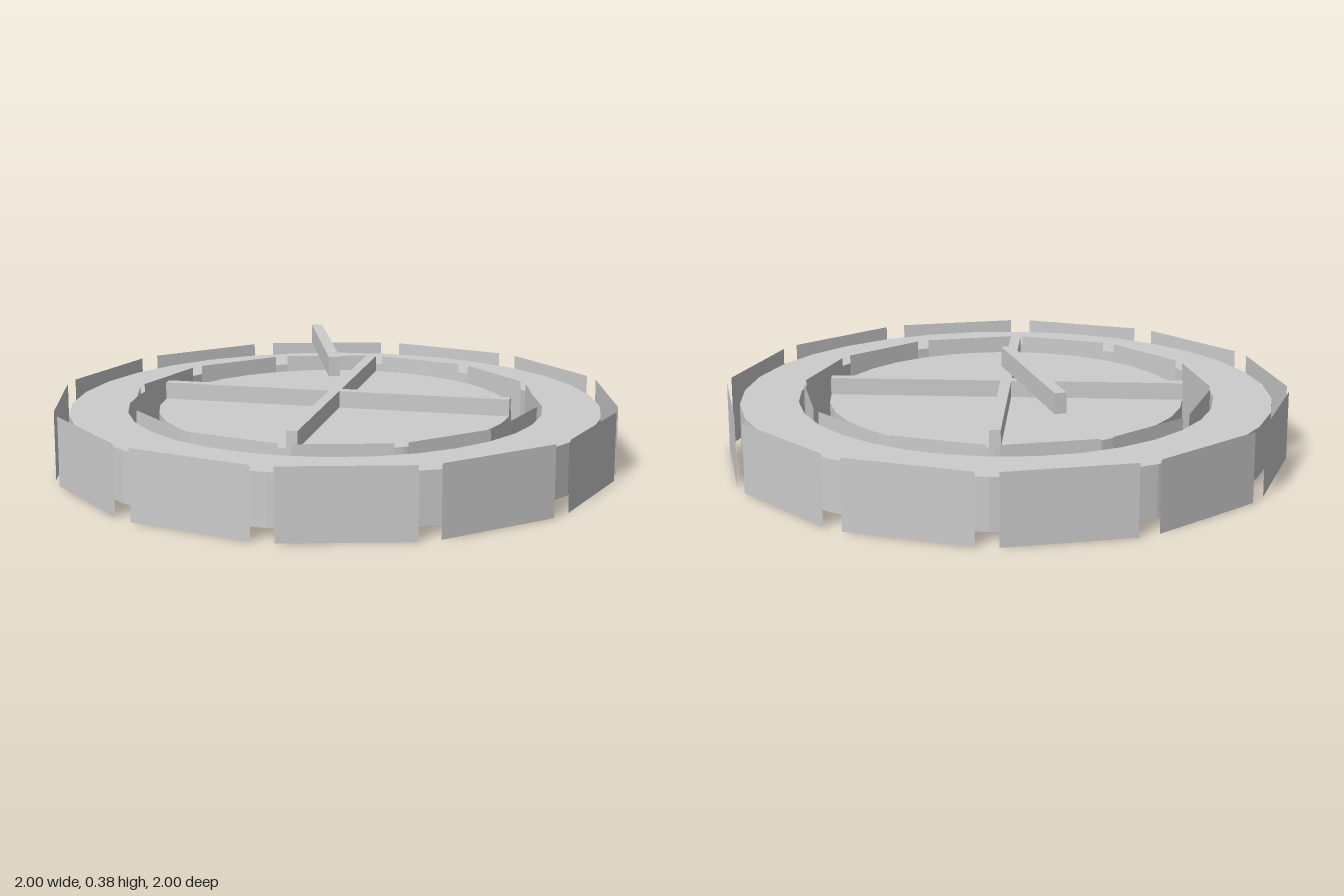
import * as THREE from 'three';

export function createModel() {
  const model = new THREE.Group();
  const grey = new THREE.MeshStandardMaterial({ color: 0xcccccc, side: THREE.DoubleSide, flatShading: true });
  grey.name = 'light grey';

  const add = (name, geometry, x = 0, y = 0, z = 0, turn = 0) => {
    const mesh = new THREE.Mesh(geometry, grey);
    mesh.name = name;
    mesh.position.set(x, y, z);
    mesh.rotation.y = turn;
    model.add(mesh);
    return mesh;
  };

  // Flat outer ring, 32 sides inside and out
  const shape = new THREE.Shape().absarc(0, 0, 0.943, 0, Math.PI * 2, false);
  shape.holes.push(new THREE.Path().absarc(0, 0, 0.737, 0, Math.PI * 2, true));
  const ring = new THREE.ExtrudeGeometry(shape, { depth: 0.18, bevelEnabled: false, curveSegments: 16 });
  ring.rotateX(-Math.PI / 2);
  add('ring', ring, 0, 0.03, 0);

  // Twelve thin panels around the outside and the inside of the ring
  const addPanels = (name, radius, width) => {
    const panel = new THREE.PlaneGeometry(width, 0.245);
    for (let i = 0; i < 12; i++) {
      const angle = (i + 0.5) * Math.PI / 6;
      add(name, panel, radius * Math.sin(angle), 0.1225, radius * Math.cos(angle), angle);
    }
  };
  addPanels('outerPanel', 0.975, 0.443);
  addPanels('innerPanel', 0.705, 0.33);

  // Central disc with a raised cross
  add('disc', new THREE.CylinderGeometry(0.628, 0.628, 0.175, 32), 0, 0.1175, 0);
  const bar = new THREE.BoxGeometry(0.038, 0.07, 1.254);
  add('crossBar', bar, 0, 0.23, 0);
  add('crossBar', bar, 0, 0.23, 0, Math.PI / 2);

  // Pointer floating above the cross, reaching from the centre to the rim
  add('pointer', new THREE.BoxGeometry(0.04, 0.07, 0.635), -0.1065, 0.35, -0.297, 0.335);

  return model;
}
